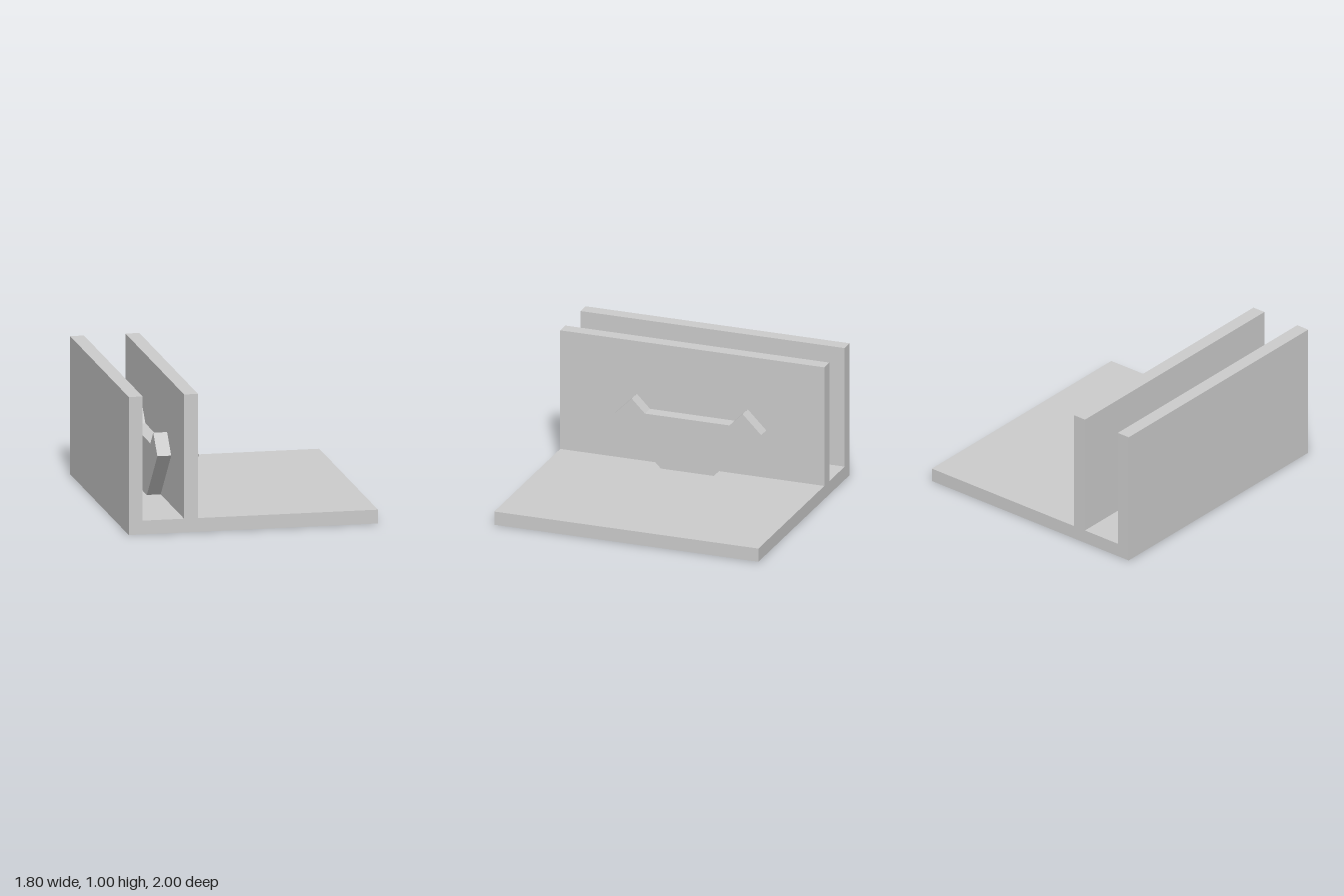
import * as THREE from 'three';

const material = new THREE.MeshStandardMaterial({ color: 0xcccccc, flatShading: true });

// Extrude a closed outline, centred along its depth
function slab(name, points, depth) {
  const shape = new THREE.Shape(points.map(([x, y]) => new THREE.Vector2(x, y)));
  const geometry = new THREE.ExtrudeGeometry(shape, { depth, bevelEnabled: false });
  geometry.translate(0, 0, -depth / 2);
  const mesh = new THREE.Mesh(geometry, material);
  mesh.name = name;
  return mesh;
}

export function createModel() {
  const model = new THREE.Group();
  model.name = 'channelBracket';

  // Base plate with an outer wall and an inner wall, one continuous section
  model.add(slab('baseAndWalls', [
    [-0.9, 0], [0.9, 0], [0.9, 0.1], [-0.4, 0.1], [-0.4, 1], [-0.5, 1],
    [-0.5, 0.1], [-0.8, 0.1], [-0.8, 1], [-0.9, 1],
  ], 2));

  // Horned cradle plates, one on each face of the inner wall
  const half = [[0.2, 0.1], [0.56, 0.46], [0.42, 0.6], [0.32, 0.5]];
  const outline = [...half, ...half.map(([z, y]) => [-z, y]).reverse()];
  for (const [name, x] of [['leftCradle', -0.35], ['rightCradle', -0.55]]) {
    const cradle = slab(name, outline, 0.1);
    cradle.rotation.y = -Math.PI / 2;
    cradle.position.x = x;
    model.add(cradle);
  }

  return model;
}
